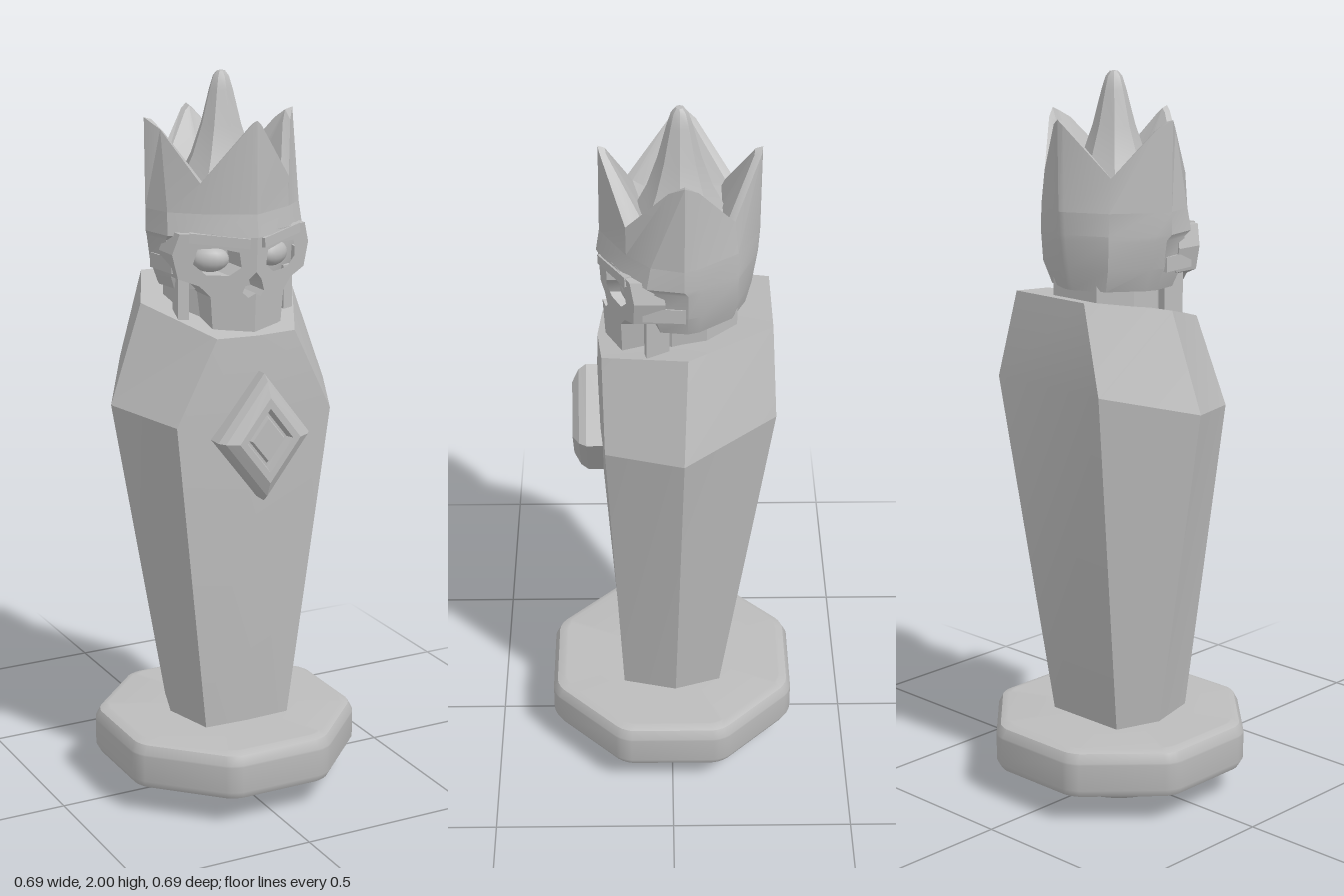
import * as THREE from 'three';
import { toCreasedNormals } from 'three/addons/utils/BufferGeometryUtils.js';

const stone = new THREE.MeshStandardMaterial({ color: 0xbcbcbc });
stone.name = 'light grey stone';

// Skin a list of closed rings, with optional end caps
function loft(rings, capStart = false, capEnd = false) {
  const pos = [];
  const tri = (...pts) => pts.forEach((p) => pos.push(...p));
  for (let i = 0; i < rings.length - 1; i++) {
    const lo = rings[i], hi = rings[i + 1], n = lo.length;
    for (let j = 0; j < n; j++) {
      const k = (j + 1) % n;
      tri(lo[j], lo[k], hi[k]);
      tri(lo[j], hi[k], hi[j]);
    }
  }
  const cap = (ring, flip) => {
    const n = ring.length;
    const c = [0, 1, 2].map((a) => ring.reduce((s, p) => s + p[a], 0) / n);
    ring.forEach((p, j) => {
      const q = ring[(j + 1) % n];
      if (flip) tri(c, q, p); else tri(c, p, q);
    });
  };
  if (capStart) cap(rings[0], true);
  if (capEnd) cap(rings[rings.length - 1], false);
  const g = new THREE.BufferGeometry();
  g.setAttribute('position', new THREE.Float32BufferAttribute(pos, 3));
  return g;
}

// Complete a ring from its +x half, listed front to back
const mirror = (half) => [
  ...half,
  ...half.filter((p) => p[0] > 0).reverse().map(([x, y, z]) => [-x, y, z]),
];
const level = (y, half) => mirror(half.map(([x, z]) => [x, y, z]));

// Octagon with slightly eased corners
function octagon(apothem, y) {
  const ring = [], R = apothem / Math.cos(Math.PI / 8), ease = apothem * 0.075;
  for (let k = 0; k < 8; k++) {
    const a = Math.PI / 8 + k * Math.PI / 4;
    const x = Math.sin(a) * R, z = Math.cos(a) * R;
    for (const t of [-1, -0.4, 0.4, 1]) {
      const inset = ease * 0.41 * (0.55 + 0.45 * Math.abs(t));
      const along = ease * t * 0.92;
      ring.push([
        x - Math.sin(a) * inset + Math.cos(a) * along,
        y,
        z - Math.cos(a) * inset - Math.sin(a) * along,
      ]);
    }
  }
  return ring;
}

export function createModel() {
  const model = new THREE.Group();
  model.name = 'coffinFigure';
  const add = (name, geometry, crease = 0.4, parent = model) => {
    const mesh = new THREE.Mesh(toCreasedNormals(geometry, crease), stone);
    mesh.name = name;
    parent.add(mesh);
    return mesh;
  };

  // Octagonal base with rounded edges
  add('base', loft([
    [0.2, 0.075], [0.308, 0.075], [0.314, 0.075], [0.333, 0.083], [0.345, 0.105], [0.345, 0.11],
    [0.345, 0.178], [0.345, 0.183], [0.333, 0.207], [0.314, 0.215], [0.308, 0.215], [0.12, 0.215],
  ].map(([r, y]) => octagon(r, y))), 0.6);

  // Round foot with a hollow socket
  const lathe = (pts, n) => new THREE.LatheGeometry(pts.map((p) => new THREE.Vector2(...p)), n);
  add('foot', lathe([
    [0.128, 0.006], [0.136, 0], [0.158, 0], [0.172, 0.01], [0.178, 0.03],
    [0.185, 0.048], [0.2, 0.064], [0.235, 0.077],
  ], 40), 0.7);
  add('socket', lathe([[0, 0.4], [0.128, 0.4], [0.128, 0.006]], 14), 0.2);

  // Coffin body, widest at the shoulders, with a slanted top
  add('coffinBody', loft([
    mirror([[0, 0.2, 0.142], [0.125, 0.2, 0.137], [0.162, 0.2, -0.01], [0.12, 0.2, -0.135]]),
    mirror([[0, 1.1, 0.203], [0.23, 1.1, 0.178], [0.325, 1.125, -0.03], [0.187, 1.19, -0.273]]),
    mirror([[0, 1.33, 0.197], [0.115, 1.33, 0.185], [0.23, 1.393, -0.04], [0.125, 1.43, -0.262]]),
  ], false, true), 0.25);

  // Diamond ornament with a recessed centre
  const diamond = (w, h, z) => [[w, 1.06, z], [0, 1.06 + h, z], [-w, 1.06, z], [0, 1.06 - h, z]];
  add('diamondOrnament', loft([
    diamond(0.135, 0.175, 0.15), diamond(0.135, 0.175, 0.23), diamond(0.122, 0.158, 0.25),
    diamond(0.09, 0.117, 0.268), diamond(0.068, 0.088, 0.268), diamond(0.06, 0.076, 0.245),
    diamond(0.052, 0.066, 0.245), diamond(0.046, 0.058, 0.256),
  ], false, true));

  const skull = new THREE.Group();
  skull.name = 'skull';
  model.add(skull);

  // Cranium, stepping forward at the brow
  const crownFoot = level(1.65, [
    [0, 0.187], [0.014, 0.181], [0.13, 0.117], [0.195, 0.055], [0.218, -0.03],
    [0.2, -0.068], [0.125, -0.168], [0.016, -0.224], [0, -0.228],
  ]);
  add('cranium', loft([
    level(1.44, [[0, 0.09], [0.02, 0.09], [0.11, 0.07], [0.165, 0.03], [0.175, -0.04], [0.165, -0.07], [0.1, -0.155], [0.016, -0.193], [0, -0.195]]),
    level(1.5, [[0, 0.1], [0.02, 0.1], [0.12, 0.08], [0.187, 0.045], [0.198, -0.04], [0.185, -0.075], [0.12, -0.168], [0.016, -0.208], [0, -0.21]]),
    level(1.575, [[0, 0.1], [0.02, 0.1], [0.12, 0.085], [0.195, 0.045], [0.21, -0.04], [0.195, -0.075], [0.125, -0.17], [0.016, -0.219], [0, -0.222]]),
    level(1.59, [[0, 0.196], [0.014, 0.19], [0.12, 0.138], [0.2, 0.065], [0.218, -0.03], [0.2, -0.07], [0.125, -0.17], [0.016, -0.221], [0, -0.224]]),
    crownFoot,
  ], true, false), 0.5, skull);
  add('neck', loft([
    level(1.3, [[0.09, 0.08], [0.14, 0], [0.14, -0.09], [0.08, -0.17]]),
    level(1.47, [[0.09, 0.08], [0.14, 0], [0.14, -0.09], [0.08, -0.17]]),
  ]), 0.4, skull);

  // Crown with four blunt points around a hollow
  add('crown', loft([
    crownFoot,
    mirror([[0, 1.892, 0.186], [0.014, 1.88, 0.182], [0.13, 1.73, 0.118], [0.192, 1.86, 0.01], [0.22, 1.888, -0.03], [0.198, 1.865, -0.065], [0.122, 1.74, -0.158], [0.016, 1.875, -0.227], [0, 1.888, -0.23]]),
    mirror([[0, 1.886, 0.168], [0.012, 1.875, 0.165], [0.115, 1.73, 0.1], [0.176, 1.85, -0.003], [0.198, 1.882, -0.03], [0.18, 1.858, -0.057], [0.108, 1.735, -0.14], [0.013, 1.87, -0.208], [0, 1.882, -0.21]]),
    mirror([[0, 1.72, 0.08], [0.02, 1.72, 0.08], [0.1, 1.72, 0.07], [0.112, 1.72, 0.02], [0.112, 1.72, -0.03], [0.112, 1.72, -0.06], [0.1, 1.72, -0.13], [0.02, 1.72, -0.13], [0, 1.72, -0.13]]),
  ], false, true), 0.35, skull);
  add('centreSpike', lathe([
    [0.12, 1.71], [0.084, 1.78], [0.056, 1.86], [0.033, 1.95], [0.022, 1.985], [0.011, 1.998], [0, 2],
  ], 8), 0.5, skull).position.z = -0.02;

  // Each half of the face is a plate angled back from the centre line
  for (const s of [1, -1]) {
    const side = s > 0 ? 'left' : 'right';
    const path = (pts) => pts.map(([x, y]) => new THREE.Vector2(s * x, y));
    const shape = new THREE.Shape(path([
      [0, 1.6], [0.185, 1.6], [0.202, 1.545], [0.187, 1.48], [0.135, 1.46], [0.108, 1.43],
      [0.1, 1.325], [0, 1.325], [0, 1.44], [0.018, 1.428], [0.032, 1.442], [0.02, 1.475], [0, 1.497],
    ]));
    shape.holes.push(new THREE.Path(path([
      [0.036, 1.51], [0.042, 1.55], [0.095, 1.562], [0.142, 1.56], [0.152, 1.52], [0.12, 1.49], [0.065, 1.488],
    ])));
    const face = new THREE.ExtrudeGeometry(shape, { depth: 0.08, bevelEnabled: false });
    const p = face.attributes.position;
    for (let i = 0; i < p.count; i++) {
      p.setZ(i, p.getZ(i) + 0.095 - 0.45 * Math.abs(p.getX(i)) + (p.getY(i) - 1.33) * 0.06);
    }
    add(side + 'Face', face, 0.4, skull);

    const eye = add(side + 'Eye', new THREE.SphereGeometry(1, 16, 10), 1, skull);
    eye.scale.set(0.05, 0.034, 0.03);
    eye.position.set(s * 0.093, 1.525, 0.1);
    eye.rotation.y = s * 0.42;

    // Brow, cheek and jaw pieces
    const block = (name, size, at, turn = 0, tilt = 0) => {
      const m = add(side + name, new THREE.BoxGeometry(...size), 0.4, skull);
      m.position.set(s * at[0], at[1], at[2]);
      m.rotation.set(0, s * turn, s * tilt);
    };
    block('Brow', [0.16, 0.026, 0.03], [0.086, 1.582, 0.143], 0.46, 0.1);
    block('Cheekbone', [0.02, 0.04, 0.11], [0.189, 1.51, 0.02], -0.1);
    block('Jaw', [0.03, 0.13, 0.06], [0.15, 1.415, 0.04], 0.2);
  }
  return model;
}
